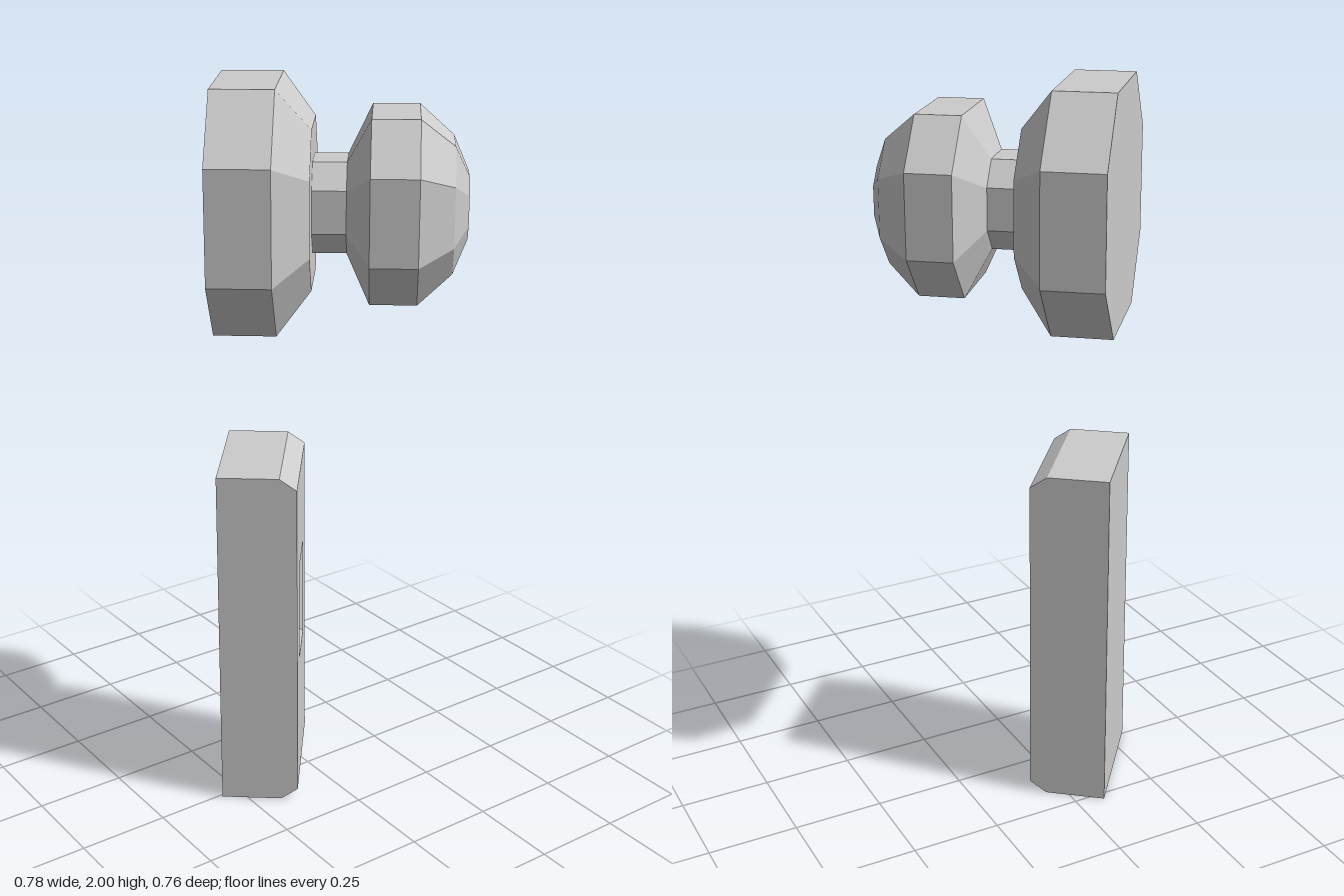
import * as THREE from 'three';

const material = new THREE.MeshStandardMaterial({ color: 0xcccccc, flatShading: true });

// Joins rings of [x, y, z] points (counter-clockwise from the front) and caps both ends.
function loft(name, rings) {
  const n = rings[0].length;
  const index = [];
  for (let r = 0; r < rings.length - 1; r++) {
    for (let i = 0; i < n; i++) {
      const j = (i + 1) % n, a = r * n, b = a + n;
      index.push(a + i, a + j, b + j, a + i, b + j, b + i);
    }
  }
  const last = (rings.length - 1) * n;
  for (let i = 1; i < n - 1; i++) {
    index.push(0, i + 1, i, last, last + i, last + i + 1);
  }
  const indexed = new THREE.BufferGeometry();
  indexed.setAttribute('position', new THREE.Float32BufferAttribute(rings.flat(2), 3));
  indexed.setIndex(index);
  const geometry = indexed.toNonIndexed();
  geometry.computeVertexNormals();
  const mesh = new THREE.Mesh(geometry, material);
  mesh.name = name;
  return mesh;
}

// Slightly irregular octagon, scaled about the knob's axis.
const OCTAGON = [
  [0.3185, -0.147], [0.3185, 0.147], [0.167, 0.3125], [-0.167, 0.3125],
  [-0.3185, 0.147], [-0.3185, -0.147], [-0.167, -0.3125], [0.167, -0.3125],
];
const octagon = ([scale, z]) => OCTAGON.map(([x, y]) => [x * scale, y * scale, z]);

// Rectangle ring: half width, bottom, top, depth.
const rect = ([w, y0, y1, z]) => [[w, y0, z], [w, y1, z], [-w, y1, z], [-w, y0, z]];

export function createModel() {
  const model = new THREE.Group();
  model.name = 'doorKnobAndLockPlate';

  // Knob assembly: wall rosette, neck and faceted grip
  const knob = new THREE.Group();
  knob.name = 'doorKnob';
  knob.position.y = 1.6875;
  knob.add(
    loft('rosette', [[1, -0.234], [1, -0.071], [0.66, 0.016]].map(octagon)),
    loft('neck', [[0.377, 0.016], [0.377, 0.104]].map(octagon)),
    loft('grip', [
      [0.377, 0.104], [0.757, 0.165], [0.757, 0.287], [0.523, 0.376], [0.261, 0.414],
    ].map(octagon)),
  );

  // Lock plate: bevelled top and bottom, then a sloped recess and a deep key slot
  const plate = loft('lockPlate', [
    [0.182, 0, 0.985, -0.234],
    [0.182, 0, 0.985, -0.065],
    [0.182, 0.033, 0.952, -0.018],
    [0.088, 0.4, 0.685, -0.018],
    [0.042, 0.443, 0.643, -0.051],
    [0.025, 0.47, 0.62, -0.051],
    [0.025, 0.47, 0.62, -0.12],
  ].map(rect));

  // The whole set is turned on its vertical axis
  const set = new THREE.Group();
  set.name = 'turnedSet';
  set.rotation.y = THREE.MathUtils.degToRad(51.3);
  set.position.set(-0.01, 0, 0.0125);
  set.add(knob, plate);
  model.add(set);
  return model;
}
